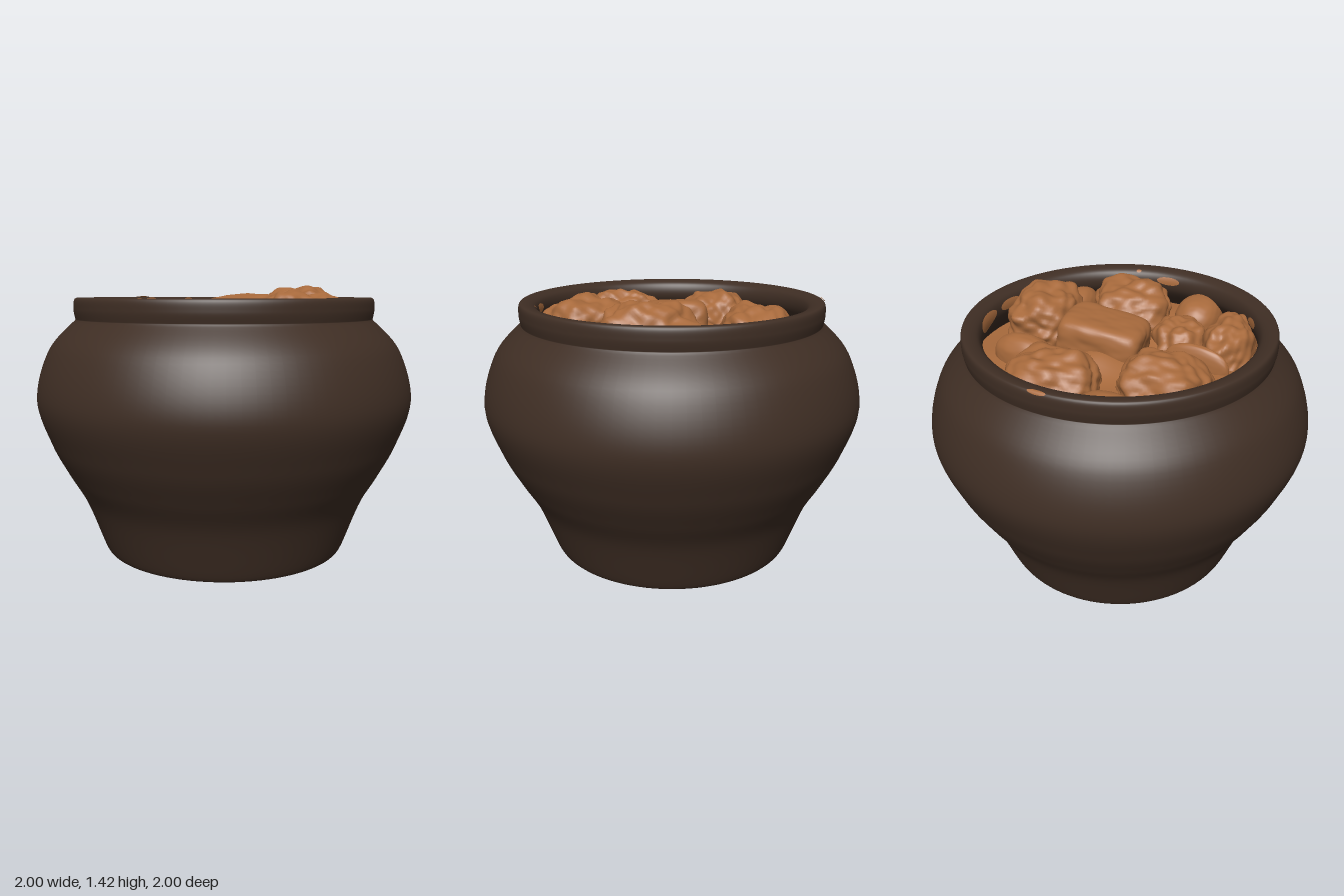
import * as THREE from 'three';
import { mergeVertices } from 'three/addons/utils/BufferGeometryUtils.js';

const clay = new THREE.MeshStandardMaterial({ color: 0x3f2e24 });
clay.name = 'dark clay';
const stew = new THREE.MeshStandardMaterial({ color: 0xa86a3c, side: THREE.DoubleSide });
stew.name = 'brown stew';

const spline = (...list) => new THREE.SplineCurve(list.map(([x, y]) => new THREE.Vector2(x, y)));

// Outer wall from foot to neck, then the lip from the neck over the rim and inside
const wall = spline([0.64, 0], [0.665, 0.02], [0.76, 0.27], [0.85, 0.43], [0.935, 0.6],
  [1, 0.83], [0.93, 1.08], [0.79, 1.235]);
const lip = spline([0.79, 1.235], [0.798, 1.29], [0.785, 1.346], [0.71, 1.325], [0.7, 1.24], [0.78, 1.13]);
const inside = spline([0.78, 1.13], [0.87, 0.8], [0.58, 0.12], [0, 0.08]);

function addMesh(group, name, geometry, material) {
  const mesh = new THREE.Mesh(geometry, material);
  mesh.name = name;
  group.add(mesh);
  return mesh;
}

function potGeometry() {
  const points = [
    new THREE.Vector2(0, 0), new THREE.Vector2(0.62, 0), ...wall.getPoints(55),
    ...lip.getPoints(50).slice(1), ...inside.getPoints(20).slice(1),
  ];
  return new THREE.LatheGeometry(points, 96);
}

// Smooth lumpy noise made of layered, warped waves
function noise(x, y, z, seed) {
  const a = Math.sin(x + 1.7 * Math.sin(y + seed)) * Math.cos(z + seed * 2);
  const b = Math.sin(2 * y + 1.3 * Math.sin(z - seed)) * Math.cos(2 * x + seed);
  return 0.6 * a + 0.4 * b;
}

// Ball pushed toward a box by "square", then roughened
function chunkGeometry(rx, ry, rz, square, rough, seed) {
  let g = new THREE.IcosahedronGeometry(1, 18);
  g.deleteAttribute('uv');
  g.deleteAttribute('normal');
  g = mergeVertices(g);
  const p = g.attributes.position;
  const v = new THREE.Vector3();
  for (let i = 0; i < p.count; i++) {
    v.fromBufferAttribute(p, i);
    const sum = v.toArray().reduce((s, c) => s + Math.abs(c) ** square, 0);
    const [coarse, fine] = [4, 9].map((f) => noise(v.x * f, v.y * f, v.z * f, seed + f));
    v.multiplyScalar(sum ** (-1 / square) * (1 + rough * (coarse + 0.5 * fine)));
    p.setXYZ(i, v.x * rx, v.y * ry, v.z * rz);
  }
  g.computeVertexNormals();
  return g;
}

// Gently rippled surface filling the pot's mouth
function brothGeometry() {
  const g = new THREE.RingGeometry(0.001, 0.775, 72, 24).rotateX(-Math.PI / 2);
  const p = g.attributes.position;
  for (let i = 0; i < p.count; i++) {
    const x = p.getX(i), z = p.getZ(i);
    const middle = 1 - Math.hypot(x, z) / 0.775;
    p.setY(i, 1.13 + middle * (0.05 + 0.1 * noise(x * 8, 1, z * 8, 2)));
  }
  g.computeVertexNormals();
  return g;
}

// Oval splash wrapped onto the lip; t runs along the lip curve
function splashGeometry(angle, halfAngle, t) {
  const g = new THREE.RingGeometry(0.001, 1, 24, 6);
  const p = g.attributes.position;
  const halfT = 0.02 + 0.3 * halfAngle;
  for (let i = 0; i < p.count; i++) {
    const s = t + p.getY(i) * halfT;
    const q = lip.getPoint(s), d = lip.getTangent(s);
    const r = q.x + d.y * 0.005;
    const a = angle + p.getX(i) * halfAngle;
    p.setXYZ(i, r * Math.sin(a), q.y - d.x * 0.005, r * Math.cos(a));
  }
  g.computeVertexNormals();
  return g;
}

export function createModel() {
  const model = new THREE.Group();
  model.name = 'stewPot';
  addMesh(model, 'pot', potGeometry(), clay);

  const filling = new THREE.Group();
  filling.name = 'filling';
  model.add(filling);
  addMesh(filling, 'broth', brothGeometry(), stew);

  // Rough meat: x, z, half width, half depth, top
  const meat = [
    [0.2, -0.45, 0.23, 0.18, 1.4], [-0.39, -0.24, 0.19, 0.23, 1.33], [0.45, -0.04, 0.23, 0.21, 1.37],
    [-0.3, 0.29, 0.2, 0.22, 1.33], [0.19, 0.54, 0.22, 0.13, 1.31], [0.2, 0.28, 0.18, 0.15, 1.28],
  ];
  meat.forEach(([x, z, rx, rz, top], i) => {
    const ry = 0.19;
    const chunk = addMesh(filling, 'meat', chunkGeometry(rx, ry, rz, 2.7, 0.12, i * 1.4), stew);
    chunk.position.set(x, top - ry, z);
    chunk.rotation.y = 0.25 * Math.sin(i * 2 + 4);
  });

  // Squared block in the middle, tipped down toward the front
  const block = addMesh(filling, 'centreBlock', chunkGeometry(0.16, 0.13, 0.22, 6, 0.03, 1), stew);
  block.position.set(0.01, 1.22, -0.09);
  block.rotation.set(0.14, -0.08, 0);

  // Smooth potato pieces between the meat: x, z, half width, half depth
  const potatoes = [
    [-0.6, 0.1, 0.1, 0.19], [0.56, 0.33, 0.16, 0.13], [-0.13, -0.47, 0.09, 0.18],
    [0.52, -0.36, 0.14, 0.09], [-0.03, 0.4, 0.04, 0.18], [0.2, -0.08, 0.08, 0.18],
  ];
  for (const [x, z, rx, rz] of potatoes) {
    const piece = addMesh(filling, 'potato', chunkGeometry(rx, 0.12, rz, 2.2, 0.015, x), stew);
    piece.position.set(x, 1.15, z);
    piece.rotation.y = -0.25;
  }

  // Splashes on the lip: angle round the pot, half angle, place along the lip
  const splashes = [
    [3.24, 0.18, 0.68], [2.87, 0.12, 0.69], [1.39, 0.1, 0.68],
    [1.65, 0.02, 0.58], [-1.8, 0.06, 0.38], [0.37, 0.08, 0.7],
  ];
  for (const splash of splashes) addMesh(model, 'splash', splashGeometry(...splash), stew);
  return model;
}
